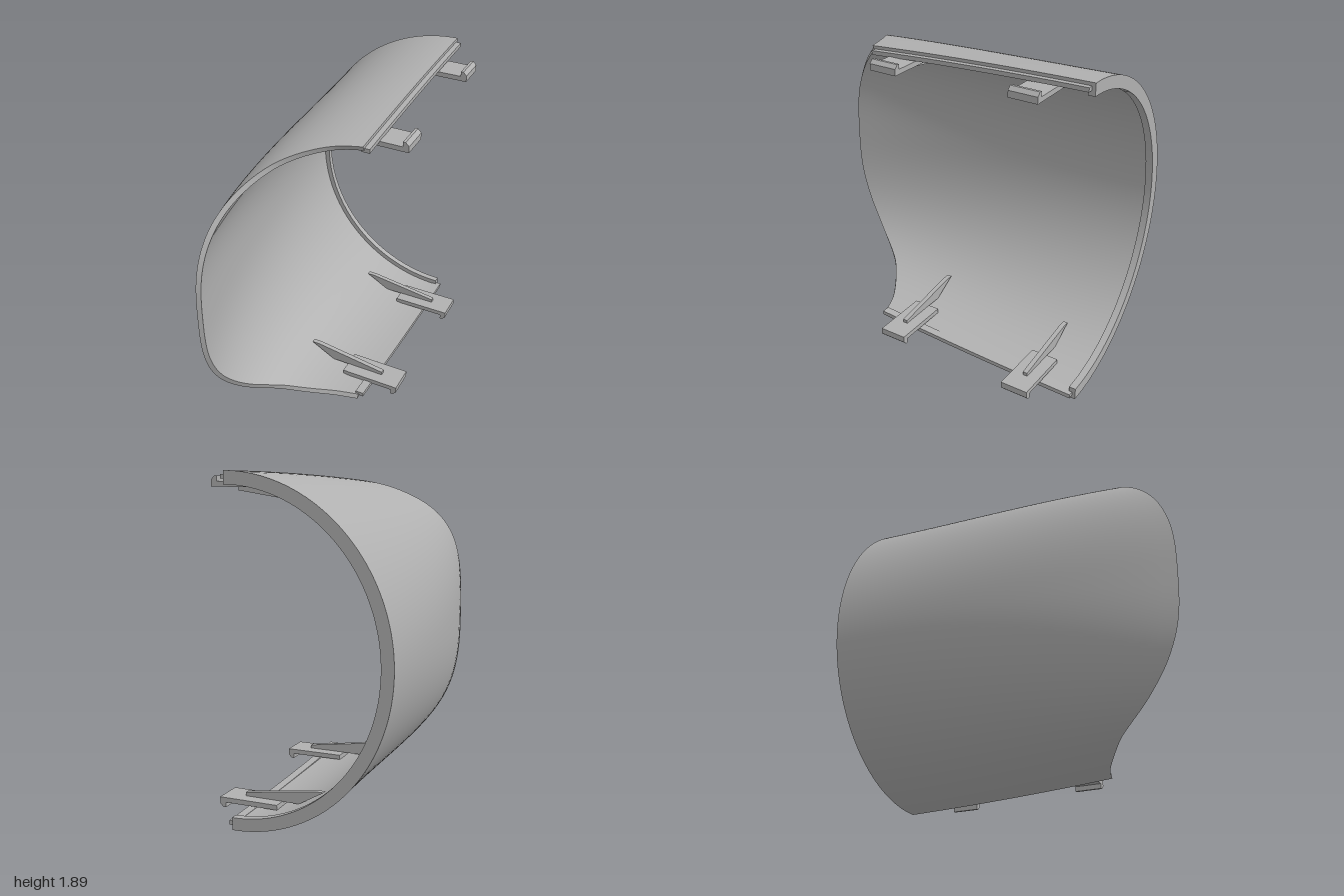
import * as THREE from 'three';
import { toCreasedNormals } from 'three/addons/utils/BufferGeometryUtils.js';

const MID = 0.945, EDGE_X = 0.36;

// Half-width, half-height and squareness of the shell section at depth z
const halfW = z => EDGE_X + 0.478 - 0.1085 * z - 0.0595 * z * z - 0.03 * z ** 3;
const halfH = z => 0.902 - 0.063 * z - 0.02 * z * z;
const power = z => 2 + 0.85 * ((z + 1) / 2) ** 2;

function shellPoint(theta, z, depth) {
  const e = 2 / power(z), s = Math.max(0, Math.sin(theta)), c = Math.cos(theta);
  return [
    EDGE_X - (halfW(z) - depth) * (s < 1e-6 ? 0 : s ** e),
    MID + (halfH(z) - depth) * Math.sign(c) * (Math.abs(c) < 1e-6 ? 0 : Math.abs(c) ** e),
    z,
  ];
}

// Curved front cut, as z over x
const cutPoints = new THREE.SplineCurve([
  [-0.28, 1], [-0.255, 0.915], [-0.2, 0.79], [-0.1, 0.625], [0, 0.52], [0.2, 0.395], [0.36, 0.342],
].map(p => new THREE.Vector2(...p))).getPoints(120);

function cutZ(x) {
  if (x <= cutPoints[0].x) return 1;
  for (let i = 1; i < cutPoints.length; i++) {
    const a = cutPoints[i - 1], b = cutPoints[i];
    if (x <= b.x) return a.y + (b.y - a.y) * (x - a.x) / (b.x - a.x);
  }
  return 0.342;
}

function frontZ(theta) {
  let lo = 0, hi = 1;
  for (let i = 0; i < 30; i++) {
    const m = (lo + hi) / 2;
    if (m < cutZ(shellPoint(theta, m, 0)[0])) lo = m; else hi = m;
  }
  return lo;
}

// Closed-thickness shell with a thicker rim along the back
function shellGeometry() {
  const NU = 96, N = 24, pos = [], index = [];
  const ringSize = 2 * N + 3;
  for (let i = 0; i <= NU; i++) {
    const theta = Math.PI * i / NU, end = frontZ(theta);
    const zAt = k => k === 0 ? -1 : -0.96 + (end + 0.96) * (k - 1) / (N - 1);
    for (let k = 0; k <= N; k++) pos.push(...shellPoint(theta, zAt(k), 0));
    for (let k = N; k >= 1; k--) {
      const z = zAt(k) - (k === N ? 0.012 : 0);
      pos.push(...shellPoint(theta, z, 0.04 - 0.012 * (k / N) ** 3));
    }
    pos.push(...shellPoint(theta, -0.96, 0.07), ...shellPoint(theta, -1, 0.07));
  }
  for (let i = 0; i < NU; i++) {
    for (let j = 0; j < ringSize; j++) {
      const a = i * ringSize + j, b = i * ringSize + (j + 1) % ringSize;
      const c = a + ringSize, d = b + ringSize;
      index.push(a, c, b, c, d, b);
    }
  }
  // End faces along the two straight edges
  for (const [base, flip] of [[0, false], [NU * ringSize, true]]) {
    for (let k = 0; k < N; k++) {
      const inner0 = k === 0 ? 2 * N + 2 : 2 * N + 1 - k;
      const inner1 = k === 0 ? 2 * N + 1 : 2 * N - k;
      const [a, b, c, d] = [k, k + 1, inner1, inner0].map(n => n + base);
      if (flip) index.push(a, c, b, a, d, c);
      else index.push(a, b, c, a, c, d);
    }
  }
  const g = new THREE.BufferGeometry();
  g.setAttribute('position', new THREE.Float32BufferAttribute(pos, 3));
  g.setIndex(index);
  return toCreasedNormals(g, 0.6);
}

// Thin strip following the straight edge of the shell
function tongueGeometry(side) {
  const g = new THREE.BoxGeometry(0.05, 0.024, 1.305, 1, 1, 16);
  g.translate(0.365, 0, -0.3275);
  const p = g.attributes.position;
  for (let i = 0; i < p.count; i++) {
    p.setY(i, p.getY(i) + MID + side * (halfH(p.getZ(i)) - 0.03));
  }
  g.computeVertexNormals();
  return g;
}

// Profile in x and y, extruded along z about a centre
function slab(points, side, lift, z, width) {
  const shape = new THREE.Shape(points.map(([x, y]) =>
    new THREE.Vector2(x, MID + side * (y + lift - MID))));
  const g = new THREE.ExtrudeGeometry(shape, { depth: width, bevelEnabled: false });
  return g.translate(0, 0, z - width / 2);
}

export function createModel() {
  const model = new THREE.Group();
  const grey = new THREE.MeshStandardMaterial({ color: 0xb0b0b0 });
  grey.name = 'plain grey';
  const add = (parent, name, geometry) => {
    const mesh = new THREE.Mesh(geometry, grey);
    mesh.name = name;
    parent.add(mesh);
  };

  add(model, 'shell', shellGeometry());

  // Snap-fit plate with a hooked tip, and its stiffening rib
  const plate = [
    [0.2, 1.768], [0.555, 1.768], [0.555, 1.805], [0.535, 1.825],
    [0.52, 1.825], [0.52, 1.796], [0.2, 1.796],
  ];
  const rib = [[0.43, 1.77], [0.43, 1.748], [0, 1.685], [-0.05, 1.685], [0.1, 1.77]];

  for (const side of [1, -1]) {
    const level = side > 0 ? 'upper' : 'lower';
    add(model, level + 'EdgeTongue', tongueGeometry(side));
    for (const [place, z, lift] of [['Front', 0.125, 0], ['Back', -0.715, 0.033]]) {
      const clip = new THREE.Group();
      clip.name = level + place + 'Clip';
      add(clip, 'clipPlate', slab(plate, side, lift, z, 0.165));
      add(clip, 'clipRib', slab(rib, side, lift, z, 0.028));
      model.add(clip);
    }
  }
  return model;
}
